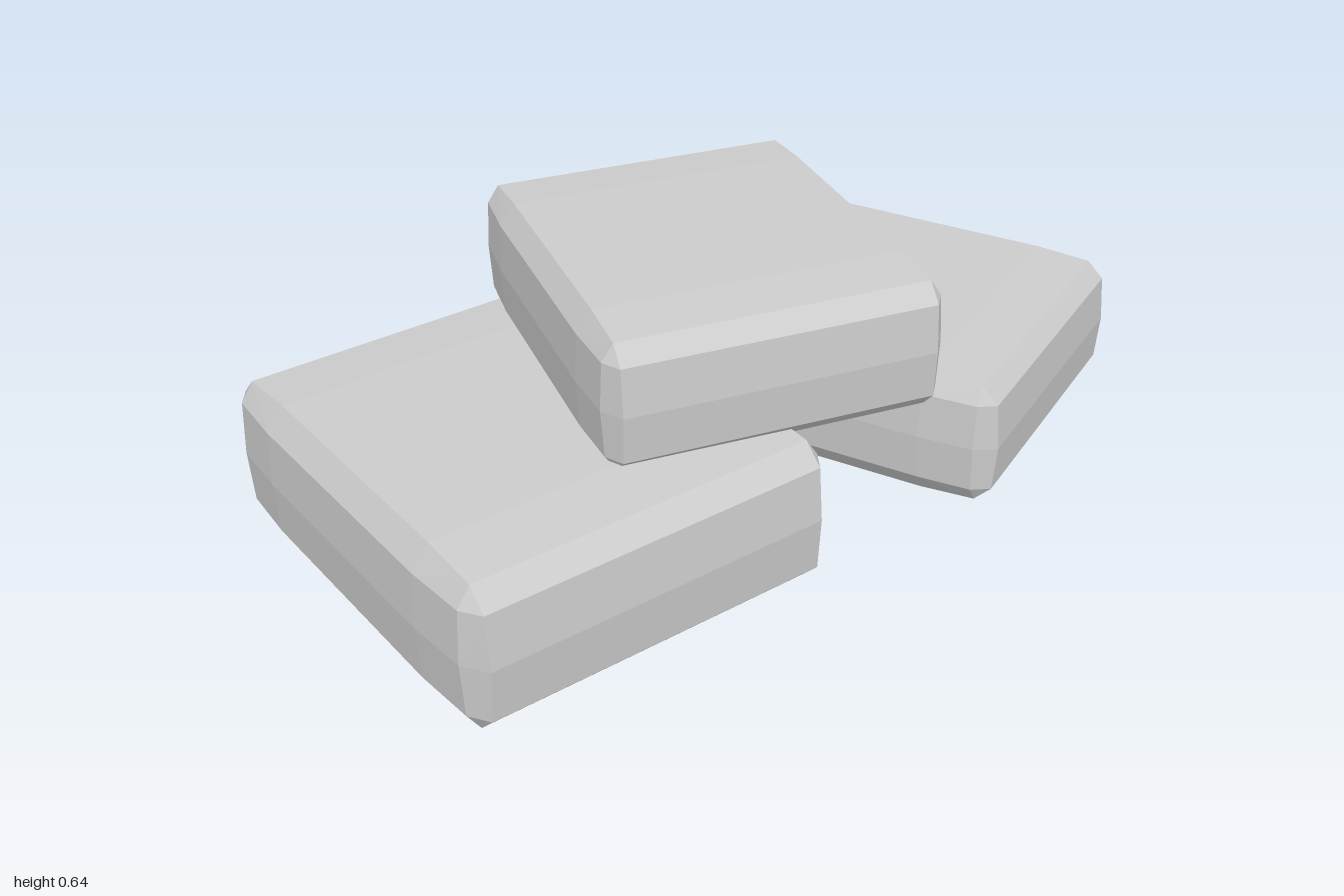
import * as THREE from 'three';
import { ConvexGeometry } from 'three/addons/geometries/ConvexGeometry.js';

// Bevelled slab with slightly bulging faces, centred on its own origin.
function slabGeometry() {
  // One octant of the slab, mirrored across all three planes.
  const octant = [
    [0.31, 0.18, 0.4], [0.46, 0.17, 0.4],                              // top and bottom
    [0.505, 0.125, 0.4], [0.515, 0, 0.4],                              // left and right
    [0.31, 0.125, 0.44], [0.31, 0, 0.447], [0.46, 0.125, 0.43], [0.46, 0, 0.437], // front and back
  ];
  const points = [];
  for (const [x, y, z] of octant)
    for (const sx of [-1, 1])
      for (const sy of y === 0 ? [1] : [-1, 1])
        for (const sz of [-1, 1]) points.push(new THREE.Vector3(sx * x, sy * y, sz * z));
  return new ConvexGeometry(points);
}

export function createModel() {
  const group = new THREE.Group();
  group.name = 'stonePile';
  const material = new THREE.MeshStandardMaterial({ color: 0xcccccc, flatShading: true });
  const geometry = slabGeometry();

  // Two stones on the ground, one resting across them.
  const stones = [
    { name: 'frontStone', position: [0, 0.18, 0.553], turn: 0, size: 1 },
    { name: 'backStone', position: [-0.002, 0.182, -0.475], turn: 0.405, size: 0.87 },
    { name: 'topStone', position: [-0.003, 0.479, 0.068], turn: -0.267, size: 0.87 },
  ];
  for (const { name, position, turn, size } of stones) {
    const stone = new THREE.Mesh(geometry, material);
    stone.name = name;
    stone.position.set(...position);
    stone.rotation.y = turn;
    stone.scale.setScalar(size);
    group.add(stone);
  }
  return group;
}
